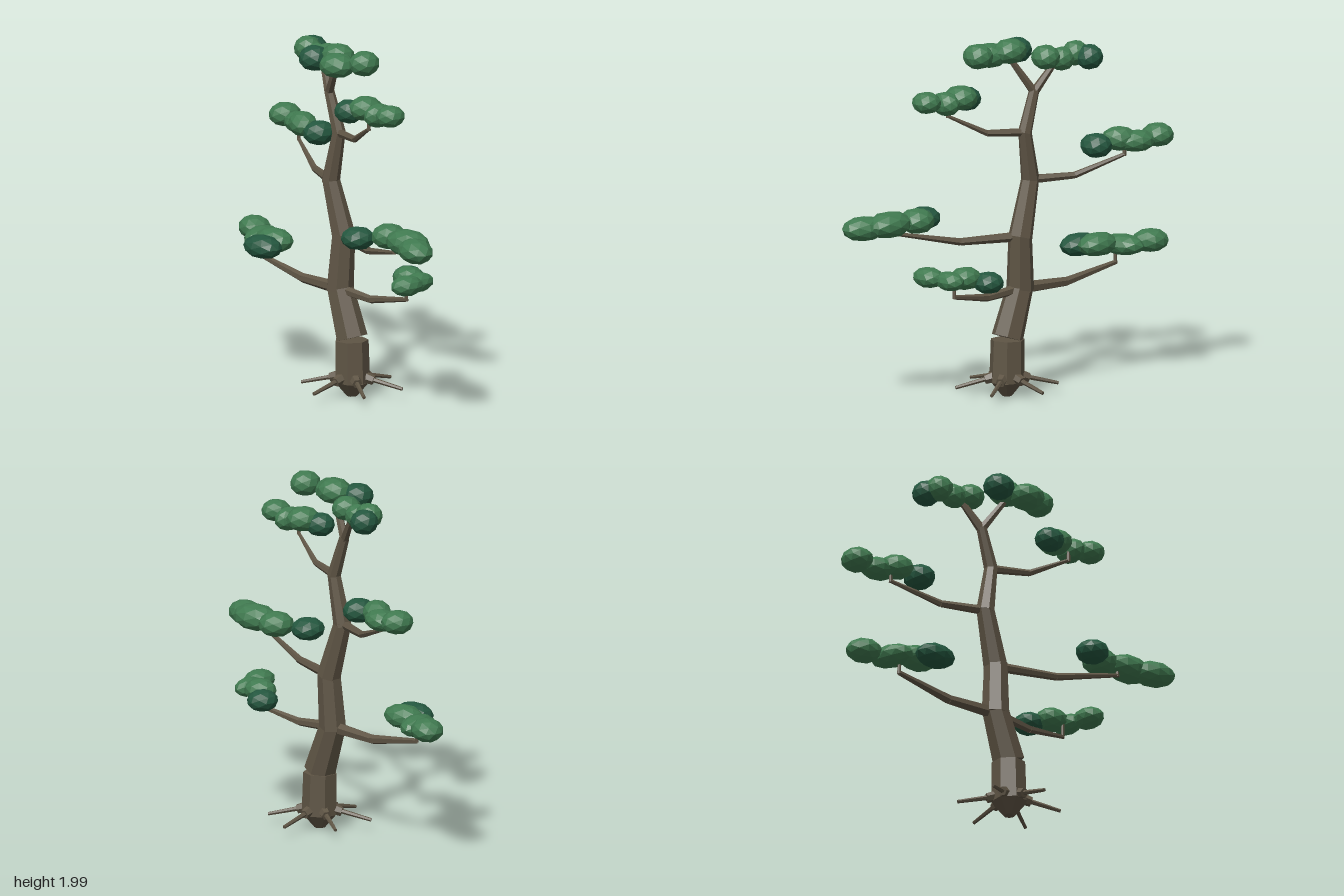
import * as THREE from 'three';

const flat = (name, color) => {
  const m = new THREE.MeshStandardMaterial({ color, flatShading: true });
  m.name = name;
  return m;
};

export function createModel() {
  const bark = flat('bark', 0x5f5545);
  const leaf = flat('leaf green', 0x407a50);
  const shade = flat('deep green', 0x24573f);
  const tree = new THREE.Group();
  tree.name = 'tree';

  const add = (parent, name, geometry, material) => {
    const mesh = new THREE.Mesh(geometry, material);
    mesh.name = name;
    parent.add(mesh);
    return mesh;
  };

  // Tapered straight limb from a to b
  const limb = (parent, name, a, b, r0, r1, sides = 6) => {
    const A = new THREE.Vector3(...a), B = new THREE.Vector3(...b);
    const dir = B.clone().sub(A);
    const geometry = new THREE.CylinderGeometry(r1, r0, dir.length(), sides);
    geometry.rotateY(0.58);
    const mesh = add(parent, name, geometry, bark);
    mesh.position.copy(A).add(B).multiplyScalar(0.5);
    mesh.quaternion.setFromUnitVectors(new THREE.Vector3(0, 1, 0), dir.normalize());
  };

  // Trunk: leaning segments, each [start, end, start radius, end radius]
  const trunk = new THREE.Group();
  trunk.name = 'trunk';
  tree.add(trunk);
  [
    [[0.05, 0.01, 0], [0.05, 0.09, 0], 0.03, 0.098],
    [[0.05, 0.09, 0], [0.045, 0.325, 0], 0.1, 0.095],
    [[0.047, 0.335, 0], [-0.05, 0.61, 0], 0.09, 0.075],
    [[-0.05, 0.59, 0], [-0.035, 0.91, -0.015], 0.078, 0.066],
    [[-0.035, 0.89, -0.017], [-0.125, 1.21, -0.002], 0.068, 0.05],
    [[-0.125, 1.19, -0.002], [-0.07, 1.485, -0.015], 0.052, 0.037],
    [[-0.07, 1.47, -0.015], [-0.145, 1.7, -0.011], 0.039, 0.029],
  ].forEach(([a, b, r0, r1]) => limb(trunk, 'trunkSegment', a, b, r0, r1, 7));
  limb(trunk, 'forkRight', [-0.145, 1.69, -0.011], [-0.245, 1.84, -0.06], 0.026, 0.018);
  limb(trunk, 'forkLeft', [-0.145, 1.69, -0.011], [-0.03, 1.87, 0.045], 0.026, 0.018);

  // Six roots around the base
  const roots = new THREE.Group();
  roots.name = 'roots';
  tree.add(roots);
  for (let i = 0; i < 6; i++) {
    const t = Math.PI / 6 + i * Math.PI / 3;
    const at = (r, y) => [0.05 + r * Math.cos(t), y, r * Math.sin(t)];
    limb(roots, 'rootKnuckle', at(0.04, 0.13), at(0.125, 0.105), 0.036, 0.027);
    limb(roots, 'root', at(0.1, 0.113), at(0.29, 0.067), 0.014, 0.01);
  }

  // Branches: start, elbow, tip, start radius, and height where the twig ends
  [
    [[-0.05, 0.6, 0], [-0.37, 0.595, -0.03], [-0.72, 0.655, -0.05], 0.036, 0.75],
    [[-0.05, 0.6, 0], [0.2, 0.582, 0], [0.465, 0.625, -0.02], 0.03, 0.72],
    [[-0.03, 0.895, -0.015], [0.3, 0.893, 0.11], [0.64, 0.965, 0.235], 0.028, 1.02],
    [[-0.125, 1.2, 0], [-0.36, 1.205, -0.105], [-0.62, 1.305, -0.23], 0.026, 1.38],
    [[-0.07, 1.475, -0.015], [0.14, 1.488, 0.065], [0.35, 1.6, 0.155], 0.024, 1.67],
  ].forEach(([a, b, c, r, top]) => {
    const branch = new THREE.Group();
    branch.name = 'branch';
    tree.add(branch);
    limb(branch, 'branchInner', a, b, r, r * 0.75);
    limb(branch, 'branchOuter', b, c, r * 0.75, r * 0.4);
    limb(branch, 'twig', [c[0], c[1] - 0.008, c[2]], [c[0], top, c[2]], 0.011, 0.009);
  });

  // Foliage pads: blobs of [x, y, z, rx, ry, rz, yaw]; the first of each is the deep one
  const pads = {
    topRightPad: [
      [-0.425, 1.87, -0.155, 0.078, 0.072, 0.08, 0],
      [-0.39, 1.885, -0.08, 0.08, 0.072, 0.075, 0],
      [-0.3, 1.865, -0.07, 0.08, 0.068, 0.068, 0],
      [-0.195, 1.885, -0.05, 0.08, 0.07, 0.085, 0],
    ],
    topLeftPad: [
      [-0.13, 1.91, 0.115, 0.088, 0.073, 0.088, 0],
      [-0.015, 1.93, 0.045, 0.1, 0.072, 0.09, 0],
      [0.065, 1.905, 0.125, 0.105, 0.07, 0.1, 0],
      [0.212, 1.93, 0.06, 0.082, 0.072, 0.09, 0],
    ],
    upperLeftPad: [
      [0.2, 1.675, 0.165, 0.085, 0.068, 0.08, 0],
      [0.285, 1.7, 0.12, 0.09, 0.07, 0.1, 0],
      [0.395, 1.68, 0.125, 0.065, 0.068, 0.095, 0],
      [0.515, 1.7, 0.15, 0.08, 0.062, 0.085, 0],
    ],
    upperRightPad: [
      [-0.43, 1.378, -0.205, 0.085, 0.07, 0.095, 0],
      [-0.585, 1.398, -0.225, 0.1, 0.07, 0.08, -0.6],
      [-0.665, 1.382, -0.28, 0.11, 0.062, 0.085, -0.3],
      [-0.805, 1.4, -0.3, 0.088, 0.068, 0.095, 0],
    ],
    middleLeftPad: [
      [0.405, 1.015, 0.29, 0.095, 0.065, 0.095, 0.4],
      [0.55, 1.035, 0.19, 0.1, 0.072, 0.1, 0],
      [0.73, 1.035, 0.22, 0.145, 0.075, 0.1, 0],
      [0.86, 1.022, 0.285, 0.13, 0.07, 0.09, -0.3],
    ],
    lowerLeftPad: [
      [0.335, 0.71, -0.155, 0.085, 0.062, 0.09, 0],
      [0.43, 0.735, -0.07, 0.095, 0.065, 0.085, 0],
      [0.53, 0.73, -0.05, 0.065, 0.055, 0.1, 0],
      [0.57, 0.738, 0.075, 0.078, 0.058, 0.1, 0],
    ],
    lowerRightPad: [
      [-0.575, 0.755, 0.085, 0.125, 0.066, 0.09, 0],
      [-0.605, 0.77, -0.03, 0.125, 0.068, 0.09, 0],
      [-0.75, 0.755, -0.075, 0.085, 0.06, 0.135, 0.25],
      [-0.89, 0.77, -0.15, 0.105, 0.067, 0.09, -0.4],
    ],
  };
  for (const [name, blobs] of Object.entries(pads)) {
    const pad = new THREE.Group();
    pad.name = name;
    tree.add(pad);
    blobs.forEach(([x, y, z, rx, ry, rz, yaw], i) => {
      const blob = add(pad, 'leafBlob', new THREE.IcosahedronGeometry(1, 1), i ? leaf : shade);
      blob.position.set(x, y, z);
      blob.scale.set(rx, ry, rz);
      blob.rotation.y = yaw;
    });
  }
  return tree;
}
